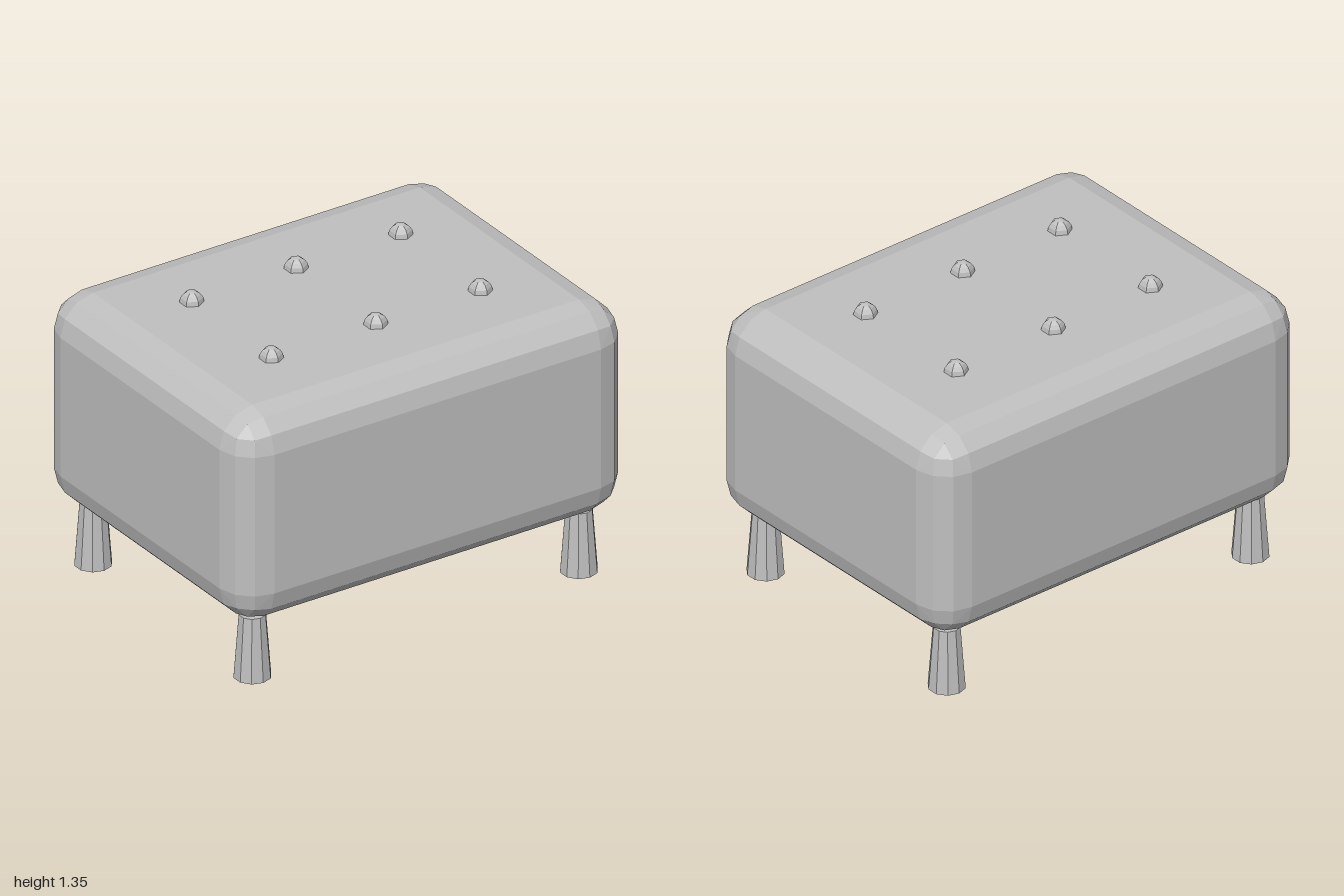
import * as THREE from 'three';
import { ConvexGeometry } from 'three/addons/geometries/ConvexGeometry.js';

const grey = new THREE.MeshStandardMaterial({ color: 0xbfbfbf });
grey.name = 'plain grey';
const SIGNS = [-1, 1];

// Box with each edge rounded in three flat bands
function bevelledBox(w, h, d, r) {
  const c = Math.cos(Math.PI / 6), s = 0.5;
  const m = 1 / Math.sqrt(1.66), n = 0.574 * m;
  const dirs = [
    [1, 0, 0], [0, 1, 0], [0, 0, 1],
    [c, s, 0], [s, c, 0], [c, 0, s], [s, 0, c], [0, c, s], [0, s, c],
    [m, n, n], [n, m, n], [n, n, m],
  ];
  const points = [];
  for (const sx of SIGNS) for (const sy of SIGNS) for (const sz of SIGNS)
    for (const [x, y, z] of dirs)
      points.push(new THREE.Vector3(
        sx * (w / 2 - r + r * x), sy * (h / 2 - r + r * y), sz * (d / 2 - r + r * z)));
  return new ConvexGeometry(points);
}

function flat(geometry) {
  const g = geometry.toNonIndexed();
  g.computeVertexNormals();
  return g;
}

export function createModel() {
  const model = new THREE.Group();
  model.name = 'ottoman';
  const add = (name, geometry, x, y, z) => {
    const mesh = new THREE.Mesh(geometry, grey);
    mesh.name = name;
    mesh.position.set(x, y, z);
    model.add(mesh);
  };

  // Padded body
  add('cushion', bevelledBox(2, 1, 1.533, 0.167), 0, 0.8, 0);

  // Tapered legs under the corners
  const leg = flat(new THREE.CylinderGeometry(0.06, 0.083, 0.3, 10));
  for (const sx of SIGNS) for (const sz of SIGNS)
    add((sz > 0 ? 'front' : 'back') + (sx > 0 ? 'Left' : 'Right') + 'Leg',
      leg, sx * 0.833, 0.15, sz * 0.6);

  // Two rows of tufting buttons
  const button = flat(new THREE.SphereGeometry(0.053, 6, 8).rotateY(Math.PI / 2));
  for (const x of [-0.533, 0, 0.533]) for (const z of [-0.3, 0.3])
    add('button', button, x, 1.3, z);

  return model;
}
